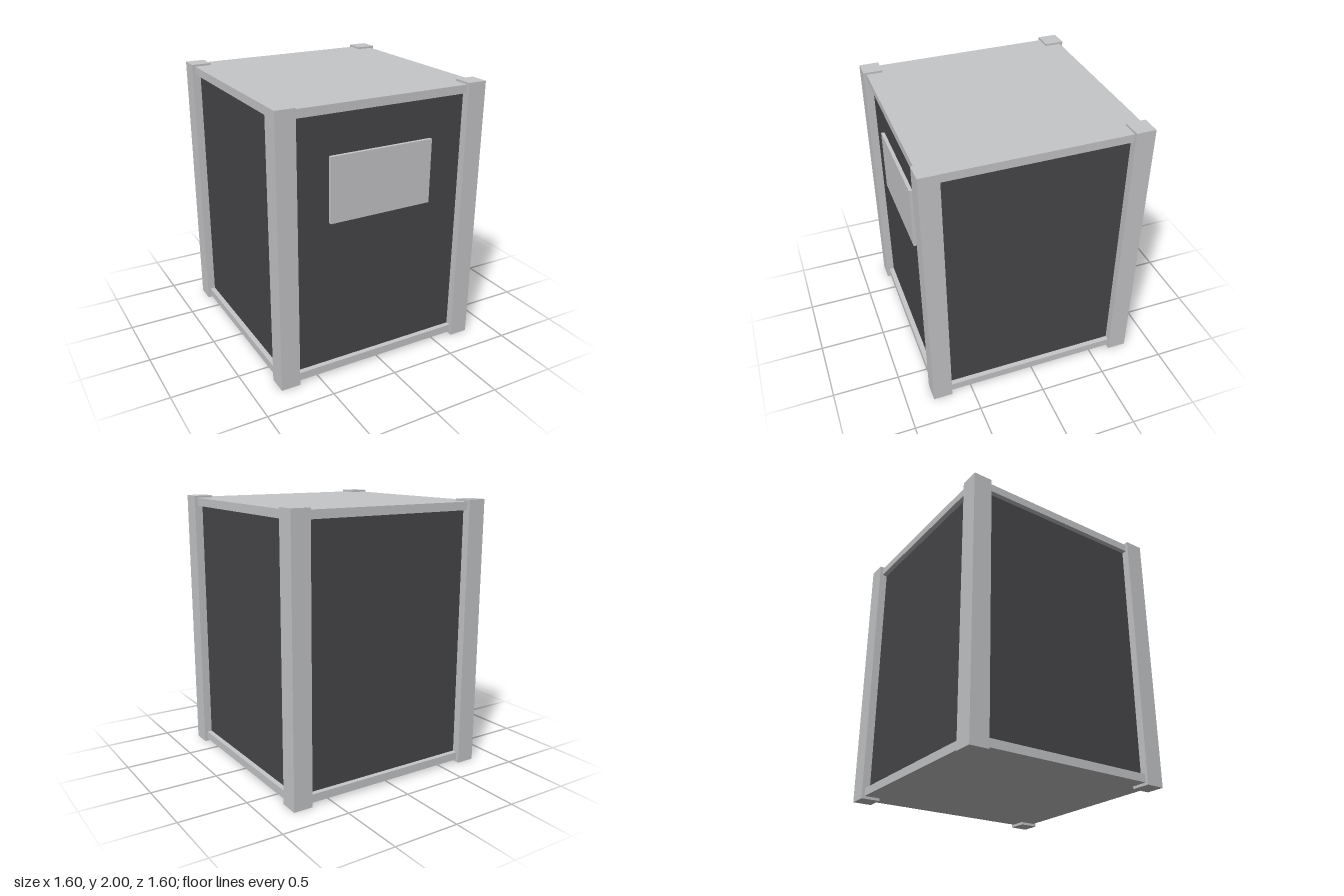
import * as THREE from 'three';

export function createModel() {
  const model = new THREE.Group();
  model.name = 'cabinet';

  const frameGrey = new THREE.MeshStandardMaterial({ color: 0xc6c7c9 });
  frameGrey.name = 'light grey frame';
  const panelGrey = new THREE.MeshStandardMaterial({ color: 0x47464a });
  panelGrey.name = 'dark grey panel';

  const addBox = (name, material, size, position) => {
    const mesh = new THREE.Mesh(new THREE.BoxGeometry(...size), material);
    mesh.name = name;
    mesh.position.set(...position);
    model.add(mesh);
  };

  // Dark body, set back behind the frame
  addBox('body', panelGrey, [1.48, 1.85, 1.48], [0, 1, 0]);

  // Base and lid slabs, slightly inset from the posts
  addBox('base', frameGrey, [1.555, 0.06, 1.555], [0, 0.05, 0]);
  addBox('lid', frameGrey, [1.555, 0.06, 1.555], [0, 1.955, 0]);

  // Full-height square corner posts
  const post = 0.143;
  const offset = 0.8 - post / 2;
  for (const x of [-1, 1]) {
    for (const z of [-1, 1]) {
      const name = `${z > 0 ? 'front' : 'back'}${x > 0 ? 'Left' : 'Right'}Post`;
      addBox(name, frameGrey, [post, 2, post], [x * offset, 1, z * offset]);
    }
  }

  // Raised plate on the front panel
  addBox('frontPlate', frameGrey, [0.79, 0.47, 0.03], [0, 1.4, 0.75]);

  return model;
}
